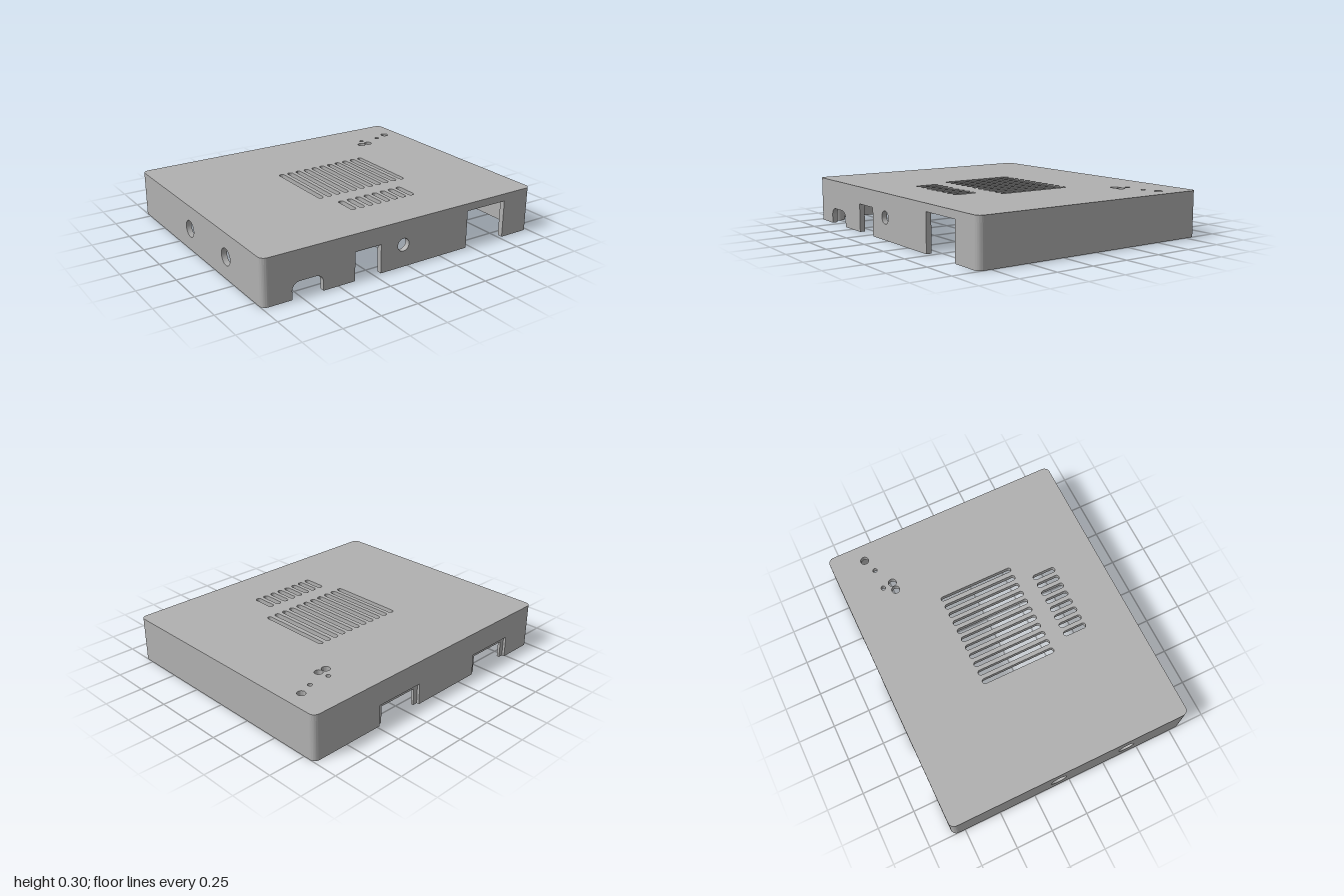
import * as THREE from 'three';
import { toCreasedNormals } from 'three/addons/utils/BufferGeometryUtils.js';

const HX = 1, HZ = 0.835, H = 0.3;   // half width, half depth, height
const R = 0.04, W = 0.035, T = 0.04; // corner radius, wall and roof thickness

export function createModel() {
  const model = new THREE.Group();
  model.name = 'enclosureCover';
  const grey = new THREE.MeshStandardMaterial({ color: 0xb0b0b0 });
  grey.name = 'grey plastic';

  const add = (name, geometry, x = 0, y = 0, z = 0) => {
    const mesh = new THREE.Mesh(geometry, grey);
    mesh.name = name;
    mesh.position.set(x, y, z);
    model.add(mesh);
    return mesh;
  };
  const extrude = (shape, depth) => toCreasedNormals(
    new THREE.ExtrudeGeometry(shape, { depth, bevelEnabled: false, curveSegments: 12 }), 0.6);
  const circle = (x, y, r) => new THREE.Path().absarc(x, y, r, 0, Math.PI * 2, true);

  // Slot with round ends, running from y0 to y1
  const slot = (x, y0, y1, r) => {
    const p = new THREE.Path();
    p.absarc(x, y1 - r, r, 0, Math.PI, false);
    p.absarc(x, y0 + r, r, Math.PI, Math.PI * 2, false);
    p.closePath();
    return p;
  };

  // Roof with vents and indicator holes (shape y is -z)
  const roof = new THREE.Shape();
  const cx = HX - R, cz = HZ - R;
  [[cx, cz], [-cx, cz], [-cx, -cz], [cx, -cz]].forEach(([x, y], i) =>
    roof.absarc(x, y, R, i * Math.PI / 2, (i + 1) * Math.PI / 2, false));
  roof.closePath();
  for (let i = 0; i < 11; i++) {
    roof.holes.push(slot(-0.241 + i * 0.064, -0.255, 0.26, i === 10 ? 0.015 : 0.018));
  }
  for (let i = 0; i < 8; i++) roof.holes.push(slot(-0.177 + i * 0.064, -0.524, -0.363, 0.018));
  [[0.6, 0.505, 0.027], [0.657, 0.505, 0.027], [0.647, 0.575, 0.015],
    [0.79, 0.575, 0.015], [0.888, 0.61, 0.027]].forEach(c => roof.holes.push(circle(...c)));
  add('roof', extrude(roof, T).rotateX(-Math.PI / 2), 0, H - T, 0);

  // Wall outline with notches [from, to, height, corner radius] and round holes
  const wall = (half, notches = [], holes = []) => {
    const s = new THREE.Shape();
    s.moveTo(-half, 0);
    for (const [a, b, h, r = 0] of notches) {
      s.lineTo(a, 0);
      s.lineTo(a, h - r);
      if (r) s.absarc(a + r, h - r, r, Math.PI, Math.PI / 2, true);
      else s.lineTo(a, h);
      s.lineTo(b - r, h);
      if (r) s.absarc(b - r, h - r, r, Math.PI / 2, 0, true);
      s.lineTo(b, 0);
    }
    s.lineTo(half, 0);
    s.lineTo(half, H - T);
    s.lineTo(-half, H - T);
    s.closePath();
    holes.forEach(c => s.holes.push(circle(...c)));
    return s;
  };

  // Front wall with port openings
  add('frontWall', extrude(wall(cx,
    [[-0.81, -0.603, 0.106, 0.05], [-0.385, -0.2, 0.187], [0.465, 0.775, 0.25]],
    [[-0.035, 0.145, 0.042]]), W), 0, 0, HZ - W);

  // Back wall in two layers, giving each opening a stepped recess
  add('backWallOuter', extrude(wall(cx, [[-0.738, -0.388, 0.143], [0.133, 0.483, 0.143]]), W / 2),
    0, 0, -HZ);
  add('backWallInner', extrude(wall(cx, [[-0.705, -0.421, 0.115], [0.166, 0.45, 0.115]]), W / 2),
    0, 0, -HZ + W / 2);

  // Side walls; the right one has two round openings
  add('leftWall', extrude(wall(cz), W).rotateY(-Math.PI / 2), HX, 0, 0);
  add('rightWall', extrude(wall(cz, [], [[-0.085, 0.145, 0.055], [0.405, 0.145, 0.055]]), W)
    .rotateY(-Math.PI / 2), -HX + W, 0, 0);

  // Rounded vertical corners
  [[cx, cz], [-cx, cz], [-cx, -cz], [cx, -cz]].forEach(([x, y], i) => {
    const a = i * Math.PI / 2, b = a + Math.PI / 2;
    const s = new THREE.Shape();
    s.absarc(0, 0, R, a, b, false);
    s.absarc(0, 0, R - W, b, a, true);
    s.closePath();
    add('cornerWall', extrude(s, H - T).rotateX(-Math.PI / 2), x, 0, -y);
  });

  // Hollow screw posts under the roof
  const ring = new THREE.Shape().absarc(0, 0, 0.048, 0, Math.PI * 2, false);
  ring.holes.push(circle(0, 0, 0.025));
  const post = extrude(ring, H - T).rotateX(-Math.PI / 2);
  for (const side of [-1, 1]) {
    add('screwPost', post, -0.912, 0, side * 0.747);
    add('screwPost', post, 0.917, 0, side * 0.248);
  }
  return model;
}
